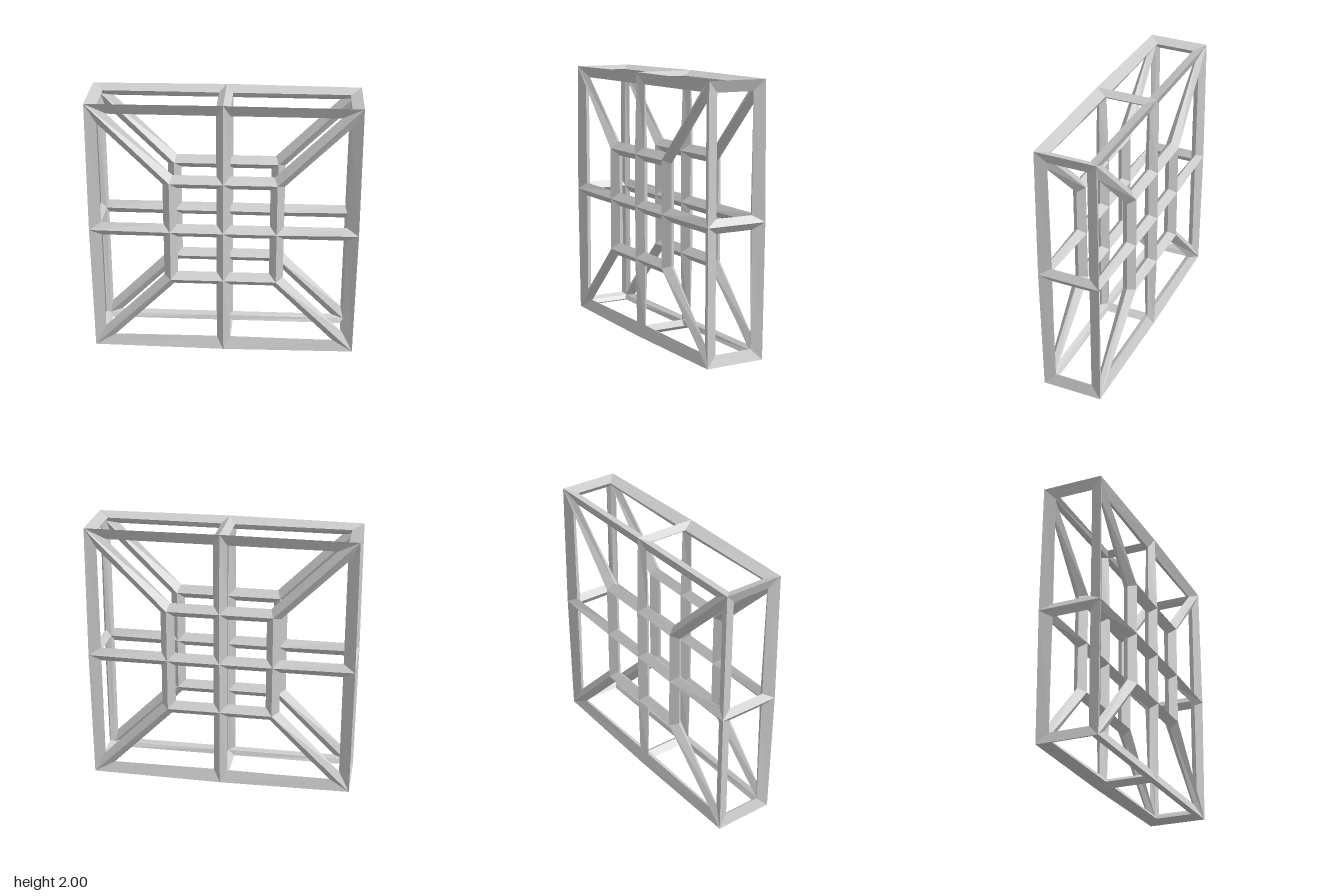
import * as THREE from 'three';

const H = 0.963;  // half width and height of the box
const D = 0.198;  // half depth
const A = 0.395;  // half size of the inner square
const T = 0.052;  // half thickness of the bars

const material = new THREE.MeshStandardMaterial({ color: 0xcccccc, flatShading: true });
const vec = (x, y, z) => new THREE.Vector3(x, y, z);

// Direction in which a point of the box skin is pushed to form the bar ridges
function ridgeNormal(p) {
  const side = (v, limit) => (Math.abs(v) > limit - 1e-4 ? Math.sign(v) : 0);
  return vec(side(p.x, H), side(p.y, H), side(p.z, D)).normalize();
}

// Bars around one cell: outer slope and inner slope meeting at the inset opening
function addCell(out, corners, outward) {
  const e1 = corners[1].clone().sub(corners[0]);
  const e2 = corners[2].clone().sub(corners[0]);
  const ring = e1.cross(e2).dot(outward) < 0 ? [...corners].reverse() : corners;
  const n = ring.length;
  const outer = ring.map((p) => p.clone().addScaledVector(ridgeNormal(p), T));
  const inner = ring.map((p) => p.clone().addScaledVector(ridgeNormal(p), -T));
  const inset = ring.map((p, i) => {
    const a = ring[(i + n - 1) % n].clone().sub(p).normalize();
    const b = ring[(i + 1) % n].clone().sub(p).normalize();
    const s = a.clone().cross(b).length();
    return p.clone().addScaledVector(a.add(b), T / s);
  });
  const quad = (a, b, c, d) => [a, b, c, a, c, d].forEach((p) => out.push(p.x, p.y, p.z));
  for (let i = 0; i < n; i++) {
    const j = (i + 1) % n;
    quad(outer[i], outer[j], inset[j], inset[i]);
    quad(inset[i], inset[j], inner[j], inner[i]);
  }
}

function makeFrame(name, cells, outward) {
  const positions = [];
  cells.forEach((cell) => addCell(positions, cell, outward));
  const geometry = new THREE.BufferGeometry();
  geometry.setAttribute('position', new THREE.Float32BufferAttribute(positions, 3));
  geometry.computeVertexNormals();
  const mesh = new THREE.Mesh(geometry, material);
  mesh.name = name;
  mesh.position.y = 1;
  return mesh;
}

export function createModel() {
  const group = new THREE.Group();
  group.name = 'latticeFrame';

  // Front and back: one quadrant of cells, mirrored four ways
  const quadrant = [
    [[0, 0], [A, 0], [A, A], [0, A]],
    [[A, 0], [H, 0], [H, H], [A, A]],
    [[0, A], [A, A], [H, H], [0, H]],
  ];
  for (const [name, s] of [['frontLattice', 1], ['backLattice', -1]]) {
    const cells = [];
    for (const sx of [1, -1]) for (const sy of [1, -1]) {
      quadrant.forEach((c) => cells.push(c.map(([x, y]) => vec(sx * x, sy * y, s * D))));
    }
    group.add(makeFrame(name, cells, vec(0, 0, s)));
  }

  // Rims: two rectangular cells per side
  const rim = [1, -1].map((s) => [[0, -D], [s * H, -D], [s * H, D], [0, D]]);
  for (const [name, s] of [['leftRim', 1], ['rightRim', -1]]) {
    group.add(makeFrame(name, rim.map((c) => c.map(([u, z]) => vec(s * H, u, z))), vec(s, 0, 0)));
  }
  for (const [name, s] of [['topRim', 1], ['bottomRim', -1]]) {
    group.add(makeFrame(name, rim.map((c) => c.map(([u, z]) => vec(u, s * H, z))), vec(0, s, 0)));
  }
  return group;
}
